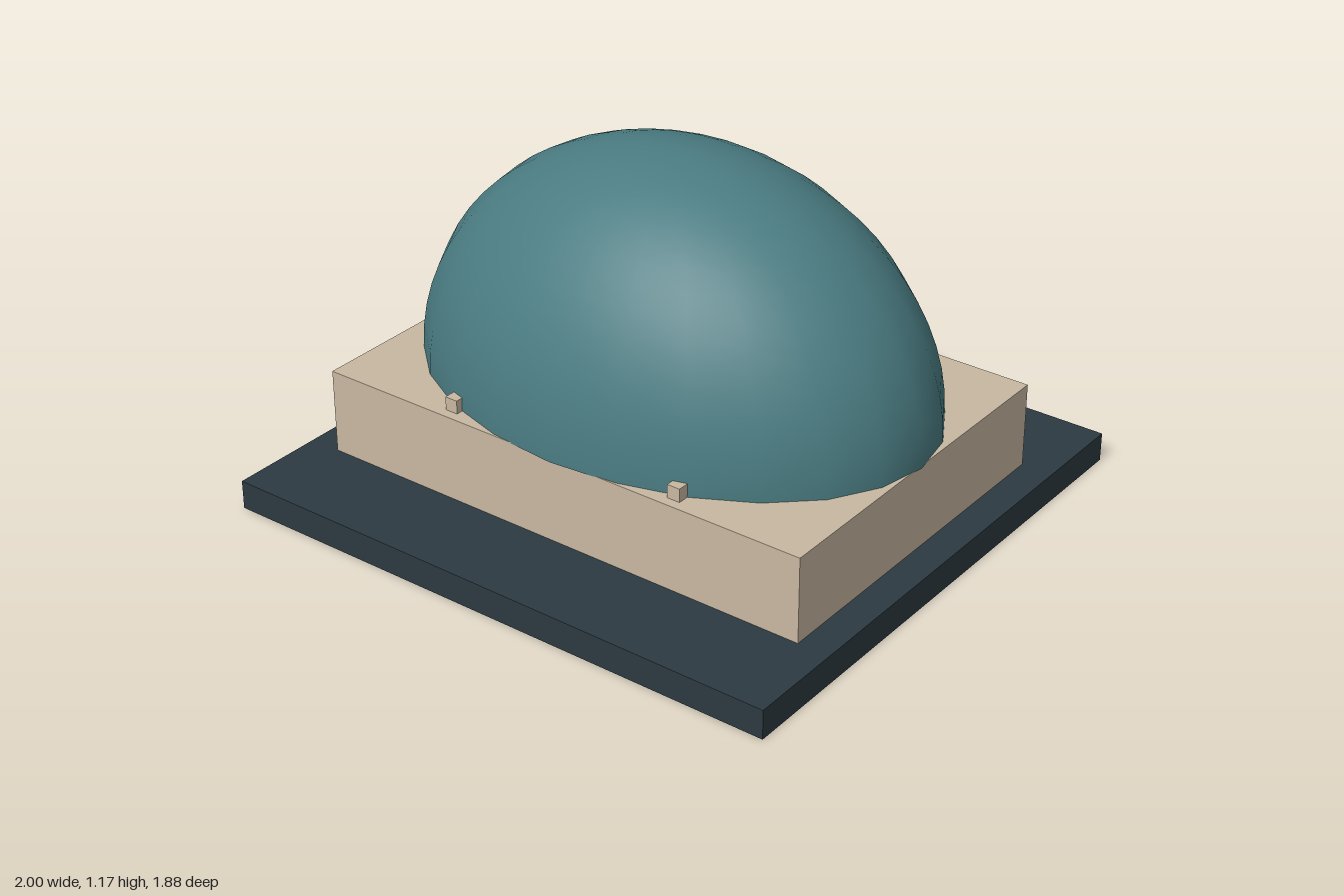
import * as THREE from 'three';

const teal = new THREE.MeshStandardMaterial({ color: 0x4a7c82 });
teal.name = 'domeTeal';
teal.side = THREE.DoubleSide;
const slate = new THREE.MeshStandardMaterial({ color: 0x2c3a41 });
slate.name = 'baseSlate';
const sand = new THREE.MeshStandardMaterial({ color: 0xc8b8a2 });
sand.name = 'blockSand';

const BASE_TOP = 0.098;
const BLOCK_TOP = 0.385;

export function createModel() {
  const model = new THREE.Group();
  model.name = 'domedBuilding';

  // Box standing on height y
  const addBox = (name, material, w, h, d, x, y, z) => {
    const mesh = new THREE.Mesh(new THREE.BoxGeometry(w, h, d), material);
    mesh.name = name;
    mesh.position.set(x, y + h / 2, z);
    model.add(mesh);
  };

  // Ground slab and rectangular plinth
  addBox('baseSlab', slate, 2, BASE_TOP, 1.88, 0, 0, 0);
  addBox('plinth', sand, 1.786, BLOCK_TOP - BASE_TOP, 1.24, 0, BASE_TOP, 0);

  // Stretched half-sphere dome, slightly wider than the plinth
  const domeGeometry = new THREE.SphereGeometry(1, 24, 16, 0, Math.PI * 2, 0, Math.PI / 2);
  domeGeometry.scale(0.9, 0.788, 0.635);
  const dome = new THREE.Mesh(domeGeometry, teal);
  dome.name = 'dome';
  dome.position.y = 0.382;
  model.add(dome);

  // Four small blocks at the rim of the dome
  for (const x of [-0.425, 0.425]) {
    for (const z of [-0.565, 0.565]) {
      addBox('rimBlock', sand, 0.045, 0.045, 0.045, x, BLOCK_TOP, z);
    }
  }

  return model;
}
